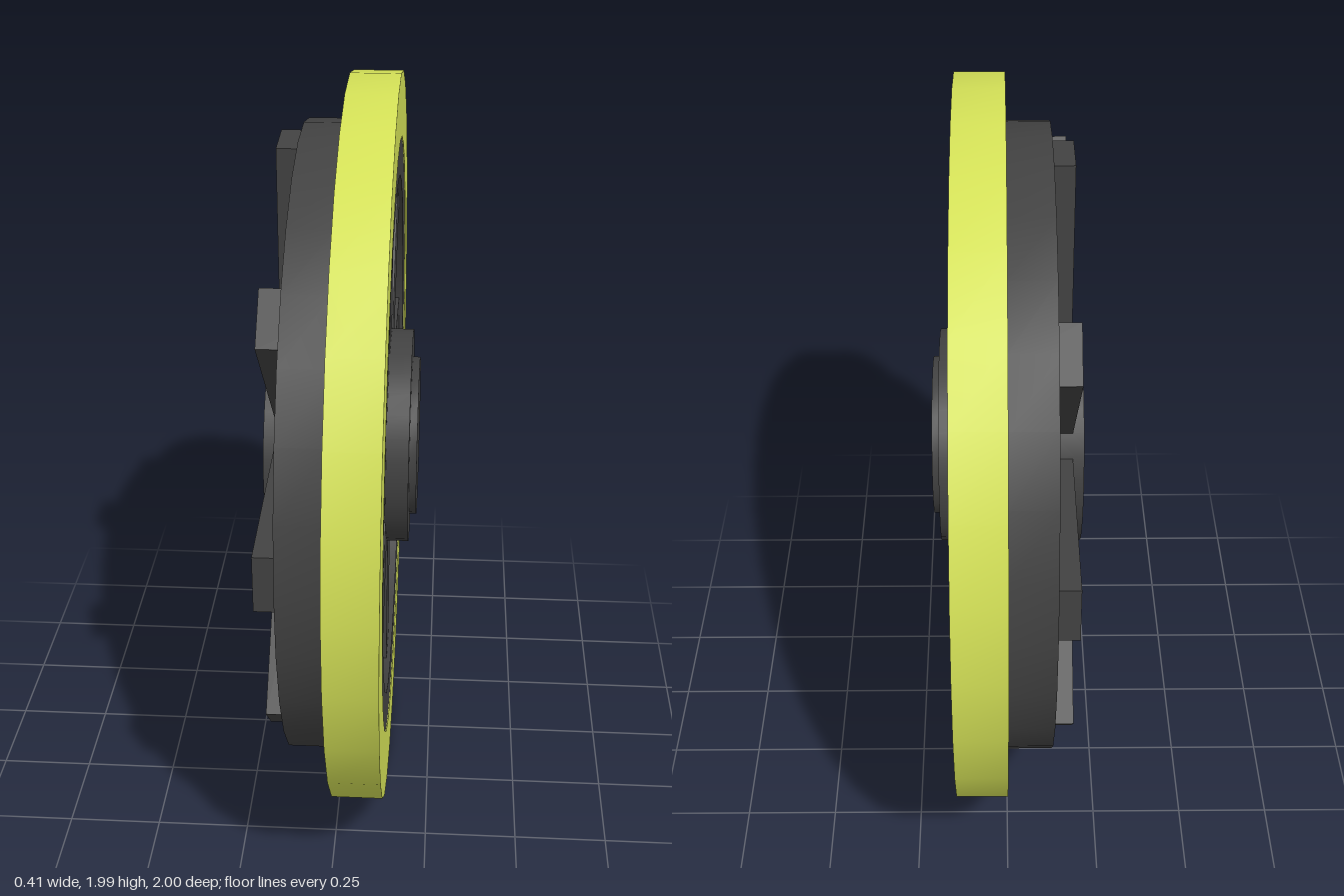
import * as THREE from 'three';
import { toCreasedNormals } from 'three/addons/utils/BufferGeometryUtils.js';

const SIDES = 30;
const AXLE_Y = 0.995;

// Revolve a [radius, x] profile around the axle (x axis), keeping edges sharp
function turned(name, profile, material) {
  const points = profile.map(([r, x]) => new THREE.Vector2(r, x));
  const geometry = new THREE.LatheGeometry(points, SIDES);
  geometry.rotateZ(-Math.PI / 2);
  const mesh = new THREE.Mesh(toCreasedNormals(geometry, Math.PI / 6), material);
  mesh.name = name;
  mesh.position.y = AXLE_Y;
  return mesh;
}

export function createModel() {
  const wheel = new THREE.Group();
  wheel.name = 'wheel';

  const lime = new THREE.MeshStandardMaterial({ color: 0xd4e157 });
  const dark = new THREE.MeshStandardMaterial({ color: 0x424242 });

  // Coloured outer ring
  wheel.add(turned('tyre', [
    [0.825, 0], [1, 0], [1, 0.135], [0.825, 0.135], [0.825, 0],
  ], lime));

  // Dark rim with a wider shoulder behind the tyre
  wheel.add(turned('rim', [
    [0.72, -0.12], [0.87, -0.12], [0.87, 0], [0.825, 0],
    [0.825, 0.132], [0.72, 0.132], [0.72, -0.12],
  ], dark));

  // Hub with a raised cap on the outer face
  wheel.add(turned('hub', [
    [0, -0.205], [0.297, -0.205], [0.297, 0.18], [0.22, 0.18], [0.22, 0.2], [0, 0.2],
  ], dark));

  // Four full-width bars make eight spokes, standing proud of the rim at the back
  const spokes = new THREE.Group();
  spokes.name = 'spokes';
  spokes.position.set(-0.0275, 1.024, 0);
  const barGeometry = new THREE.BoxGeometry(0.295, 1.65, 0.153);
  for (let i = 0; i < 4; i++) {
    const bar = new THREE.Mesh(barGeometry, dark);
    bar.name = 'spokeBar';
    bar.rotation.x = THREE.MathUtils.degToRad(1.9 + 45 * i);
    spokes.add(bar);
  }
  wheel.add(spokes);

  return wheel;
}
